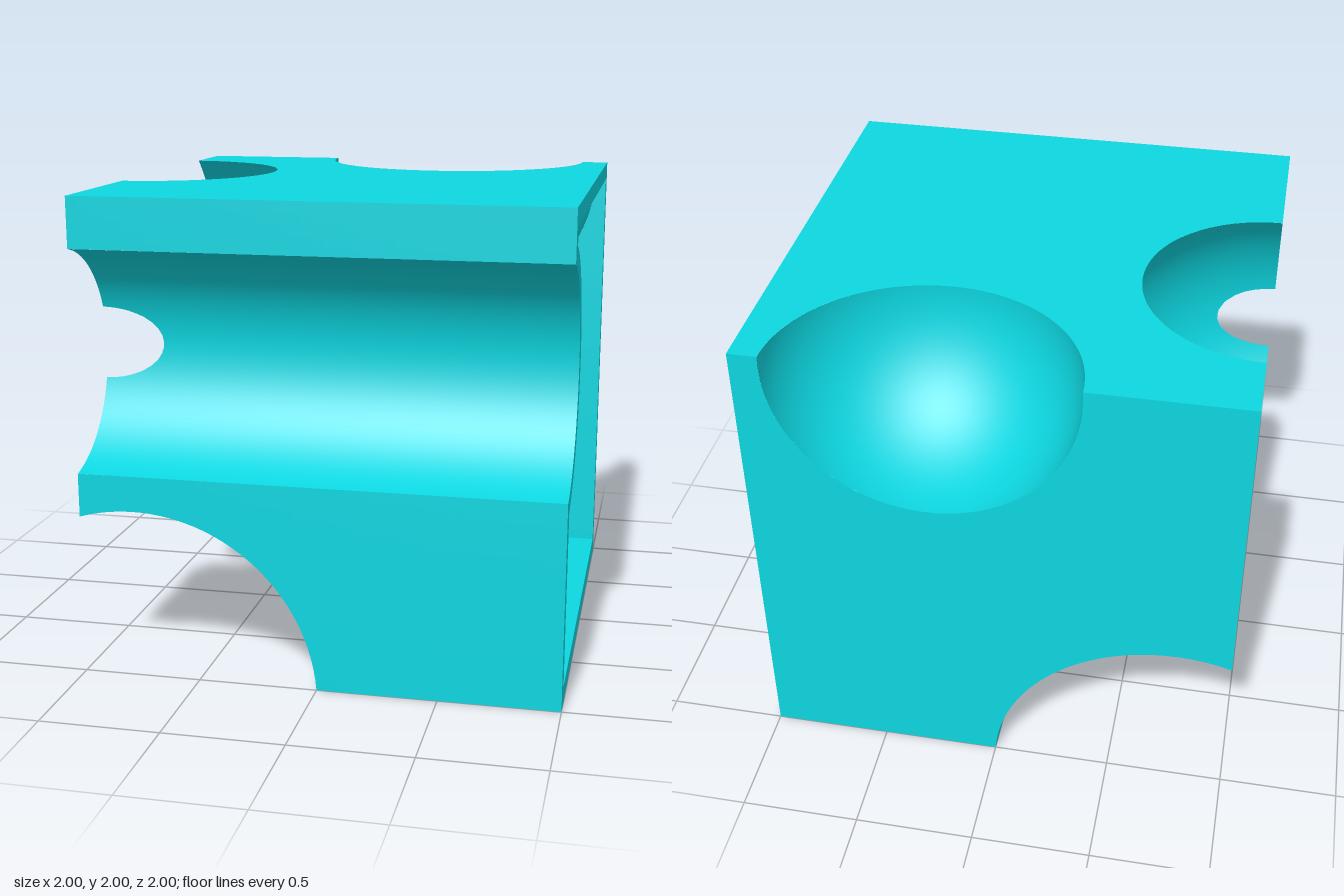
import * as THREE from 'three';

const WALL = 0.075;
const material = new THREE.MeshStandardMaterial({ color: 0x0dd6e0 });
const V = (x, y, z) => new THREE.Vector3(x, y, z);

// Hollows scooped out of the block; a cylinder runs along its axis, a sphere has none.
const hollows = [
  { name: 'frontGroove', c: V(0, 1.327, 1.09), r: 0.4715, axis: 'x' },
  { name: 'bottomChannel', c: V(-0.77, -0.057, 0), r: 0.772, axis: 'z' },
  { name: 'backTopBowl', c: V(0.262, 1.955, -1), r: 0.62 },
  { name: 'sideBowl', c: V(-1, 1.375, -0.16), r: 0.82 },
];

// Vector from a hollow's centre or axis to a point
function radial(h, p) {
  const d = p.clone().sub(h.c);
  if (h.axis) d[h.axis] = 0;
  return d;
}

// Grid of triangles over a parametric patch
function patch(f, nu, nv) {
  const tris = [];
  for (let i = 0; i < nu; i++) {
    for (let j = 0; j < nv; j++) {
      const [a, b, c, d] = [[i, j], [i + 1, j], [i + 1, j + 1], [i, j + 1]].map(([u, v]) => f(u / nu, v / nv));
      tris.push([a, b, c], [a, c, d]);
    }
  }
  return tris;
}

// Point where f changes sign between a (kept) and b (dropped)
function crossing(a, b, f) {
  let lo = 0, hi = 1;
  for (let k = 0; k < 24; k++) {
    const m = (lo + hi) / 2;
    if (f(a.clone().lerp(b, m)) >= 0) lo = m; else hi = m;
  }
  return a.clone().lerp(b, lo);
}

// Keep the part of the triangles where f >= 0
function clip(tris, f) {
  const out = [];
  for (const t of tris) {
    const s = t.map((p) => f(p) >= 0);
    if (s.every(Boolean)) { out.push(t); continue; }
    const poly = [];
    t.forEach((p, i) => {
      const j = (i + 1) % 3;
      if (s[i]) poly.push(p);
      if (s[i] !== s[j]) poly.push(s[i] ? crossing(p, t[j], f) : crossing(t[j], p, f));
    });
    for (let k = 2; k < poly.length; k++) out.push([poly[0], poly[k - 1], poly[k]]);
  }
  return out;
}

// Mesh from triangles, wound to agree with the given normal rule
function build(name, tris, normalAt) {
  const pos = [], nor = [];
  for (const [a, b, c] of tris) {
    const face = b.clone().sub(a).cross(c.clone().sub(a));
    if (face.length() < 1e-10) continue;
    const ordered = face.dot(normalAt(a)) < 0 ? [a, c, b] : [a, b, c];
    for (const p of ordered) {
      pos.push(p.x, p.y, p.z);
      nor.push(...normalAt(p).toArray());
    }
  }
  const g = new THREE.BufferGeometry();
  g.setAttribute('position', new THREE.Float32BufferAttribute(pos, 3));
  g.setAttribute('normal', new THREE.Float32BufferAttribute(nor, 3));
  const mesh = new THREE.Mesh(g, material);
  mesh.name = name;
  return mesh;
}

// One skin of the shell: box inset by t (open at +x), hollows grown by t
function skin(name, t) {
  const group = new THREE.Group();
  group.name = name;
  const side = t > 0 ? -1 : 1;
  const lo = V(-1 + t, t, -1 + t), hi = V(1, 2 - t, 1 - t);
  const outside = (h) => (p) => radial(h, p).length() - h.r - t;
  const mix = THREE.MathUtils.lerp;

  // Flat walls
  const walls = [
    ['leftWall', 'x', 'y', 'z', lo], ['bottomWall', 'y', 'x', 'z', lo], ['topWall', 'y', 'x', 'z', hi],
    ['backWall', 'z', 'x', 'y', lo], ['frontWall', 'z', 'x', 'y', hi],
  ];
  walls[0][0] = 'closedEndWall';
  for (const [wall, k, u, v, at] of walls) {
    let tris = patch((a, b) => {
      const p = V(0, 0, 0);
      p[k] = at[k];
      p[u] = mix(lo[u], hi[u], a);
      p[v] = mix(lo[v], hi[v], b);
      return p;
    }, 44, 44);
    for (const h of hollows) tris = clip(tris, outside(h));
    const n = V(0, 0, 0);
    n[k] = at === lo ? -side : side;
    group.add(build(wall, tris, () => n));
  }

  // Curved hollows, trimmed to the box and to each other
  for (const h of hollows) {
    const r = h.r + t;
    let tris = patch((a, b) => {
      const th = a * Math.PI * 2, ph = b * Math.PI;
      if (!h.axis) return V().setFromSphericalCoords(r, ph, th).add(h.c);
      const p = h.c.clone();
      p[h.axis === 'x' ? 'z' : 'x'] += r * Math.cos(th);
      p.y += r * Math.sin(th);
      p[h.axis] = mix(lo[h.axis], hi[h.axis], b);
      return p;
    }, 112, h.axis ? 40 : 56);
    for (const k of ['x', 'y', 'z']) {
      tris = clip(tris, (p) => p[k] - lo[k] + 1e-6);
      tris = clip(tris, (p) => hi[k] - p[k] + 1e-6);
    }
    for (const o of hollows) if (o !== h) tris = clip(tris, outside(o));
    group.add(build(h.name, tris, (p) => radial(h, p).normalize().multiplyScalar(-side)));
  }
  return group;
}

// Cross-section outline at the open end, with the groove bitten out (shape x is -z)
function outline(path, t) {
  const g = hollows[0], r = g.r + t, e = 1 - t;
  const a = Math.acos((g.c.z - e) / r), dy = r * Math.sin(a);
  path.moveTo(-e, t);
  path.lineTo(e, t);
  path.lineTo(e, 2 - t);
  path.lineTo(-e, 2 - t);
  path.lineTo(-e, g.c.y + dy);
  path.absarc(-g.c.z, g.c.y, r, a, -a, true);
  path.lineTo(-e, t);
  return path;
}

export function createModel() {
  const model = new THREE.Group();
  model.name = 'hollowBlock';
  model.add(skin('outerSkin', 0), skin('innerSkin', WALL));

  // Rim joining the two skins around the open end
  const shape = outline(new THREE.Shape(), 0);
  shape.holes.push(outline(new THREE.Path(), WALL));
  const rim = new THREE.Mesh(new THREE.ShapeGeometry(shape, 48), material);
  rim.name = 'openEndRim';
  rim.rotation.y = Math.PI / 2;
  rim.position.x = 1;
  model.add(rim);
  return model;
}
